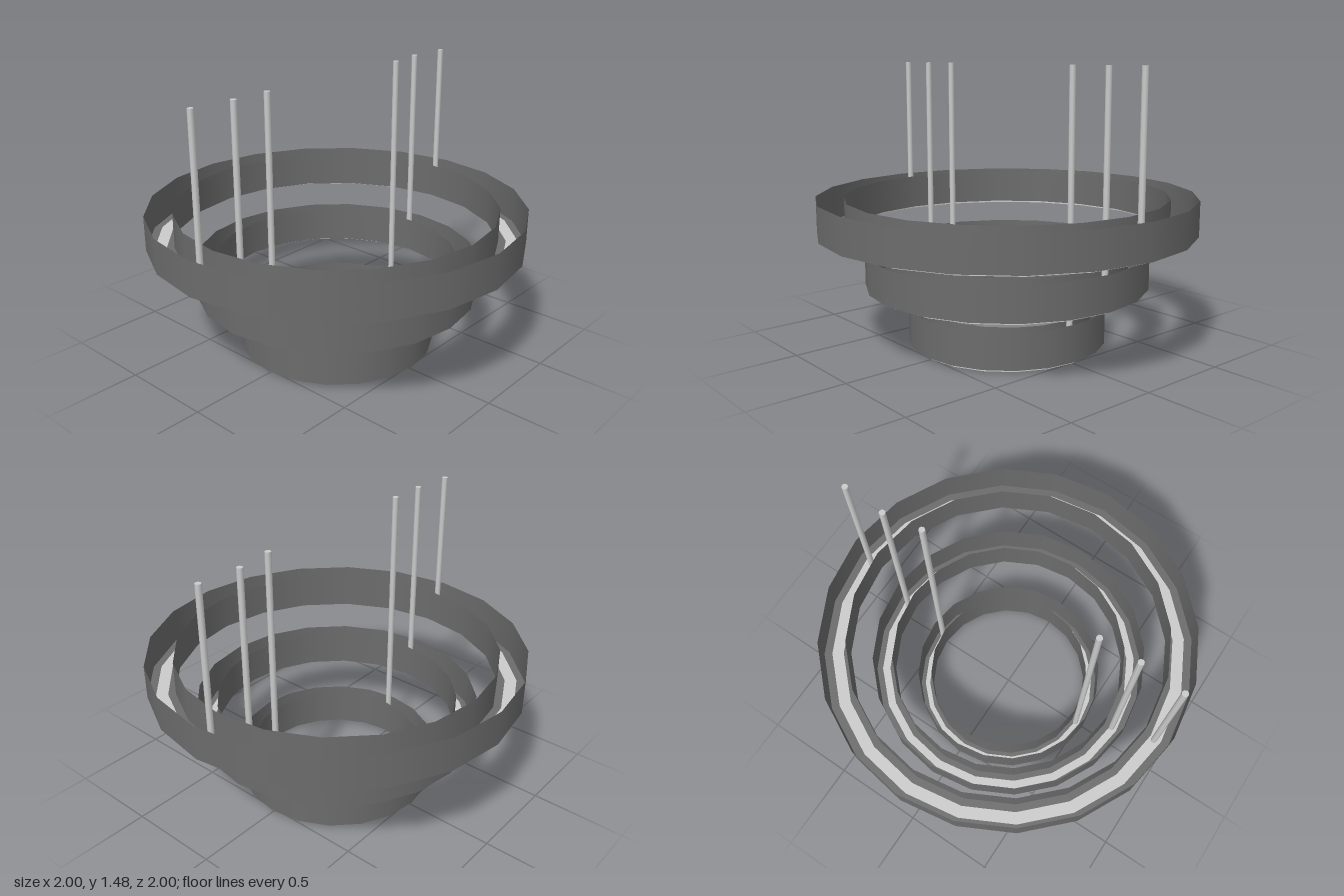
import * as THREE from 'three';
import { mergeGeometries } from 'three/addons/utils/BufferGeometryUtils.js';

const SIDES = 20;
const ROD_TOP = 1.48;

// Revolves each segment of a profile on its own, so profile corners stay sharp
function sharpLathe(profile) {
  const bands = [];
  for (let i = 0; i < profile.length - 1; i++) {
    const pair = [profile[i], profile[i + 1]].map(([r, y]) => new THREE.Vector2(r, y));
    bands.push(new THREE.LatheGeometry(pair, SIDES));
  }
  return mergeGeometries(bands);
}

function addMesh(parent, name, geometry, material) {
  const mesh = new THREE.Mesh(geometry, material);
  mesh.name = name;
  parent.add(mesh);
  return mesh;
}

// outer/inner: channel walls; lightOuter/lightInner: diffuser strip
// frontX/backX: small sideways offsets of the two hanging rods
const TIERS = [
  { name: 'largeRing', outer: 1.0, inner: 0.855, lightOuter: 0.957, lightInner: 0.895,
    bottom: 0.6, top: 0.8, rodFront: 0.92, rodBack: -0.913, frontX: -0.013, backX: -0.017 },
  { name: 'middleRing', outer: 0.755, inner: 0.647, lightOuter: 0.722, lightInner: 0.68,
    bottom: 0.31, top: 0.51, rodFront: 0.69, rodBack: -0.685, frontX: 0.004, backX: -0.03 },
  { name: 'smallRing', outer: 0.53, inner: 0.455, lightOuter: 0.505, lightInner: 0.478,
    bottom: 0, top: 0.21, rodFront: 0.48, rodBack: -0.48, frontX: 0, backX: 0 },
];

export function createModel() {
  const model = new THREE.Group();
  model.name = 'tieredRingLamp';

  const dark = new THREE.MeshStandardMaterial({ color: 0x6c6c6c, side: THREE.DoubleSide });
  const grey = new THREE.MeshStandardMaterial({ color: 0xcccccc });

  for (const t of TIERS) {
    const tier = new THREE.Group();
    tier.name = t.name;
    model.add(tier);
    const floor = t.bottom + 0.015;

    // Open-topped channel: thin walls with a flange either side of the slot
    addMesh(tier, 'outerChannel',
      sharpLathe([[t.lightOuter, floor], [t.outer, floor], [t.outer, t.top]]), dark);
    addMesh(tier, 'innerChannel',
      sharpLathe([[t.inner, t.top], [t.inner, floor], [t.lightInner, floor]]), dark);

    // Diffuser strip set in the slot, standing proud below
    addMesh(tier, 'diffuser', sharpLathe([
      [t.lightInner, t.bottom], [t.lightOuter, t.bottom],
      [t.lightOuter, floor + 0.004], [t.lightInner, floor + 0.004],
      [t.lightInner, t.bottom],
    ]), grey);

    // Hanging rods, front and back
    const length = ROD_TOP - floor;
    const rod = new THREE.CylinderGeometry(0.016, 0.016, length, 8);
    for (const [name, x, z] of [['frontRod', t.frontX, t.rodFront], ['backRod', t.backX, t.rodBack]]) {
      addMesh(tier, name, rod, grey).position.set(x, floor + length / 2, z);
    }
  }
  return model;
}
